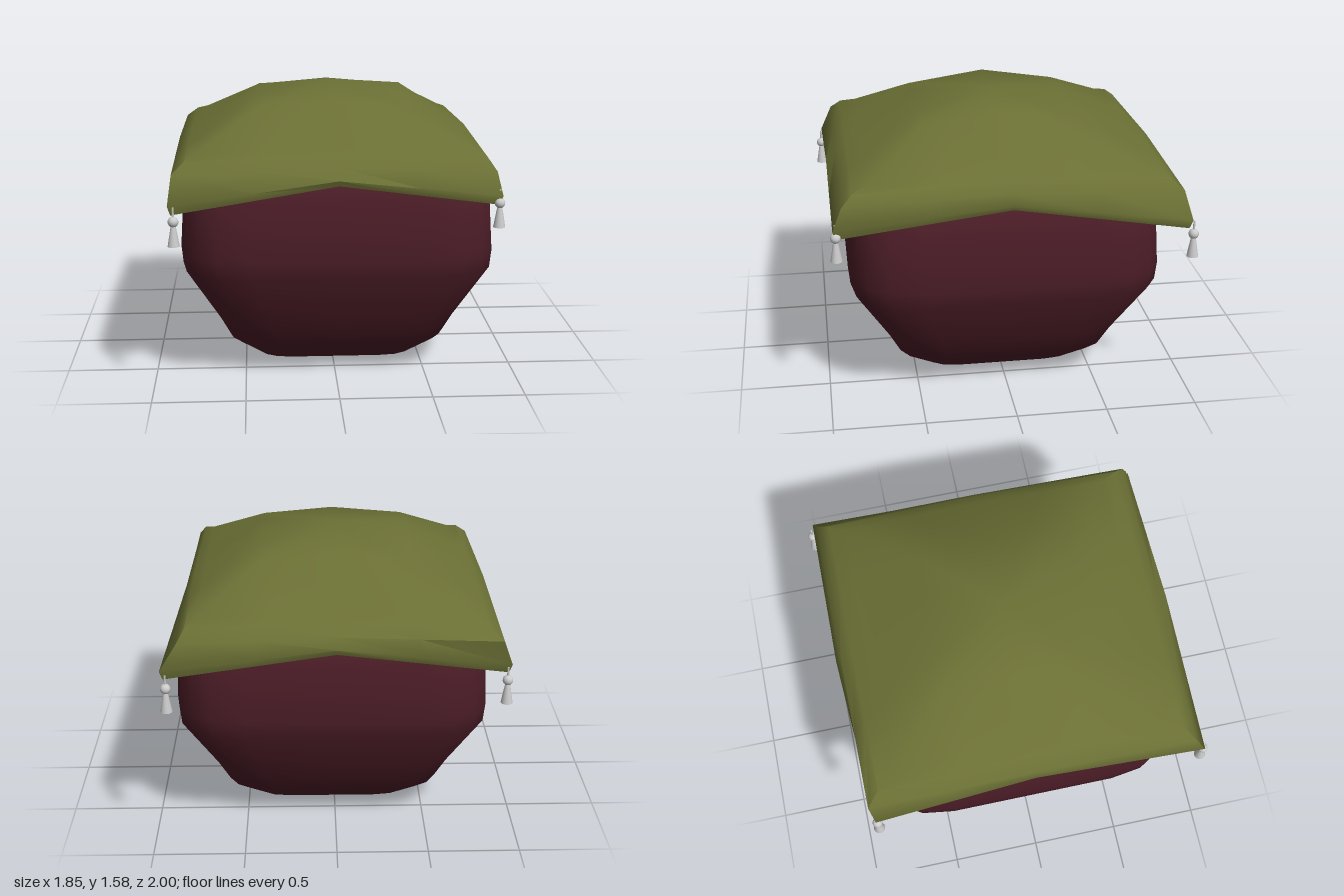
import * as THREE from 'three';
import { toCreasedNormals } from 'three/addons/utils/BufferGeometryUtils.js';

// Skin a stack of equal-length closed rings (counter-clockwise seen from above, top first)
function loft(rings, crease) {
  const n = rings[0].length, pos = rings.flat(2), idx = [];
  for (let r = 0; r < rings.length - 1; r++) {
    for (let i = 0; i < n; i++) {
      const j = (i + 1) % n, a = r * n, b = a + n;
      idx.push(a + i, b + i, b + j, a + i, b + j, a + j);
    }
  }
  const g = new THREE.BufferGeometry();
  g.setAttribute('position', new THREE.Float32BufferAttribute(pos, 3));
  g.setIndex(idx);
  return toCreasedNormals(g, crease);
}

// Rounded-square ring of half width w at height y
const QUARTER = [[1, 0], [1, 0.55], [0.97, 0.76], [0.89, 0.89], [0.76, 0.97], [0.55, 1]];
function bodyRing([w, y]) {
  const pts = [];
  for (let q = 0; q < 4; q++) {
    for (const [u, v] of QUARTER) {
      const [a, b] = [[u, v], [-v, u], [-u, -v], [v, -u]][q];
      pts.push([0.015 + a * w, y, 0.005 - b * w]);
    }
  }
  return pts;
}

// Cloth ring from 8 points (corner, side middle, corner, ...), subdivided in straight runs
function clothRing(eight) {
  const pts = [];
  eight.forEach((p, i) => {
    const q = eight[(i + 1) % 8];
    for (const t of [0, 0.5]) pts.push(p.map((c, k) => c + (q[k] - c) * t));
  });
  return pts;
}

// Square ring: left/right limits, back/front limits, corner height, x-side and z-side middle heights
function square(x0, x1, z0, z1, yc, yx, yz) {
  return clothRing([
    [x1, yc, z1], [x1, yx, 0], [x1, yc, z0], [0, yz, z0],
    [x0, yc, z0], [x0, yx, 0], [x0, yc, z1], [0, yz, z1],
  ]);
}

// Hem corners: front left, back left, back right, front right
const CORNERS = [[0.855, 1.09, 0.95], [0.92, 1.07, -0.95], [-0.92, 1.07, -0.9], [-0.89, 1.06, 0.965]];
// Hem ring, moved inwards by inset and down by drop
function hem(inset, drop) {
  const mids = [[0.85, 1.18, 0], [0, 1.18, -0.95], [-0.885, 1.18, 0], [0, 1.18, 0.955]];
  const pts = CORNERS.flatMap((c, i) => [c, mids[i]]);
  return clothRing(pts.map(([x, y, z], i) => [
    x - Math.sign(x) * inset, y - drop * (i % 2 ? 0.6 : 1), z - Math.sign(z) * inset,
  ]));
}

// Hanging tassel: bead with a flared skirt
function tassel(x, y, z, mat) {
  const g = new THREE.Group();
  g.name = 'tassel';
  const bead = new THREE.Mesh(new THREE.SphereGeometry(0.028, 14, 10), mat);
  bead.name = 'tasselBead';
  const skirt = new THREE.Mesh(new THREE.CylinderGeometry(0.011, 0.032, 0.12, 14), mat);
  skirt.name = 'tasselSkirt';
  skirt.position.y = -0.07;
  g.add(bead, skirt);
  g.position.set(x, y, z);
  return g;
}

export function createModel() {
  const model = new THREE.Group();
  model.name = 'cushionedSeat';
  const red = new THREE.MeshStandardMaterial({ color: 0x4a1c26 });
  const green = new THREE.MeshStandardMaterial({ color: 0x6b7035, side: THREE.DoubleSide });
  const grey = new THREE.MeshStandardMaterial({ color: 0xcccccc });

  // Stuffed body, domed on top and tapering to a small base
  const profile = [
    [0, 1.46], [0.35, 1.4], [0.66, 1.2], [0.79, 1.14], [0.845, 1.05], [0.865, 0.72],
    [0.855, 0.62], [0.67, 0.3], [0.605, 0.17], [0.445, 0.04], [0.295, 0], [0, 0],
  ];
  const body = new THREE.Mesh(loft(profile.map(bodyRing), 0.9), red);
  body.name = 'body';
  model.add(body);

  // Draped cloth: raised top, rolled shoulder, hanging hem and underside
  const cloth = new THREE.Mesh(loft([
    square(0, 0, 0, 0, 1.575, 1.575, 1.575),
    square(-0.41, 0.4, -0.42, 0.44, 1.485, 1.55, 1.52),
    square(-0.73, 0.73, -0.76, 0.75, 1.3, 1.32, 1.31),
    square(-0.8, 0.79, -0.85, 0.84, 1.27, 1.3, 1.29),
    square(-0.87, 0.83, -0.92, 0.9, 1.21, 1.24, 1.24),
    hem(0, 0),
    hem(0.015, 0.05),
    hem(0.045, 0.03),
    square(-0.83, 0.8, -0.86, 0.86, 1.16, 1.19, 1.19),
    square(-0.7, 0.7, -0.72, 0.72, 1.24, 1.26, 1.26),
  ], 0.9), green);
  cloth.name = 'cloth';
  model.add(cloth);

  // One tassel under each corner
  for (const [x, y, z] of [[0.84, 1.05, 0.935], [0.89, 0.98, -0.965], [-0.9, 0.98, -0.895], [-0.86, 0.98, 0.97]]) {
    const t = tassel(x, y, z, grey);
    // Short cord up into the hem
    const cord = new THREE.Mesh(new THREE.CylinderGeometry(0.006, 0.006, 0.08, 6), grey);
    cord.name = 'tasselCord';
    cord.position.y = 0.035;
    t.add(cord);
    model.add(t);
  }
  return model;
}
